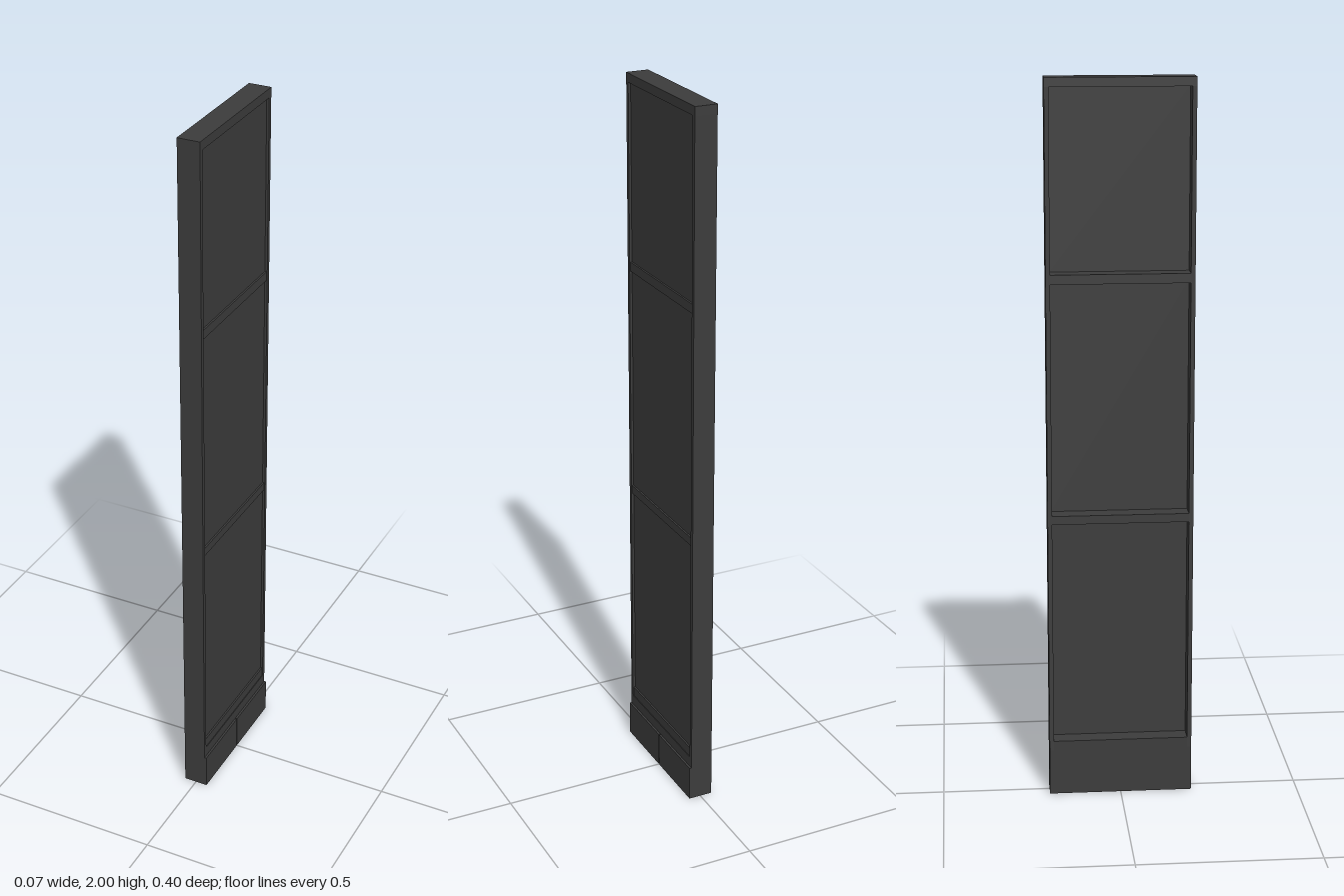
import * as THREE from 'three';

const material = new THREE.MeshStandardMaterial({ color: 0x3c3c3c });

export function createModel() {
  const group = new THREE.Group();

  // Box given by its extents on each axis
  const slab = (name, [x0, x1], [y0, y1], [z0, z1]) => {
    const mesh = new THREE.Mesh(new THREE.BoxGeometry(x1 - x0, y1 - y0, z1 - z0), material);
    mesh.position.set((x0 + x1) / 2, (y0 + y1) / 2, (z0 + z1) / 2);
    mesh.name = name;
    group.add(mesh);
  };

  const open = -0.035, rim = 0.028, half = 0.2, inner = 0.188;

  // Outer frame: two uprights and a top board
  slab('frontUpright', [open, rim], [0.13, 1.975], [inner, half]);
  slab('rearUpright', [open, rim], [0.13, 1.975], [-half, -inner]);
  slab('topBoard', [open, rim], [1.975, 2], [-half, half]);

  // Solid base
  slab('base', [open, rim], [0, 0.13], [-half, half]);

  // Two skirting boards with a narrow seam between them
  slab('frontSkirting', [rim, 0.034], [0, 0.1], [0.002, half]);
  slab('rearSkirting', [rim, 0.034], [0, 0.1], [-half, -0.002]);

  // Shelves, reaching through the backing as shallow rails
  const shelves = [[0.13, 0.158], [0.793, 0.817], [1.457, 1.483]];
  shelves.forEach((y) => slab('shelf', [open, 0.026], y, [-inner, inner]));

  // Recessed backing panel in each bay
  shelves.forEach(([, y0], i) => {
    const y1 = i < 2 ? shelves[i + 1][0] : 1.975;
    slab('backPanel', [0.014, 0.021], [y0, y1], [-inner, inner]);
  });

  return group;
}
